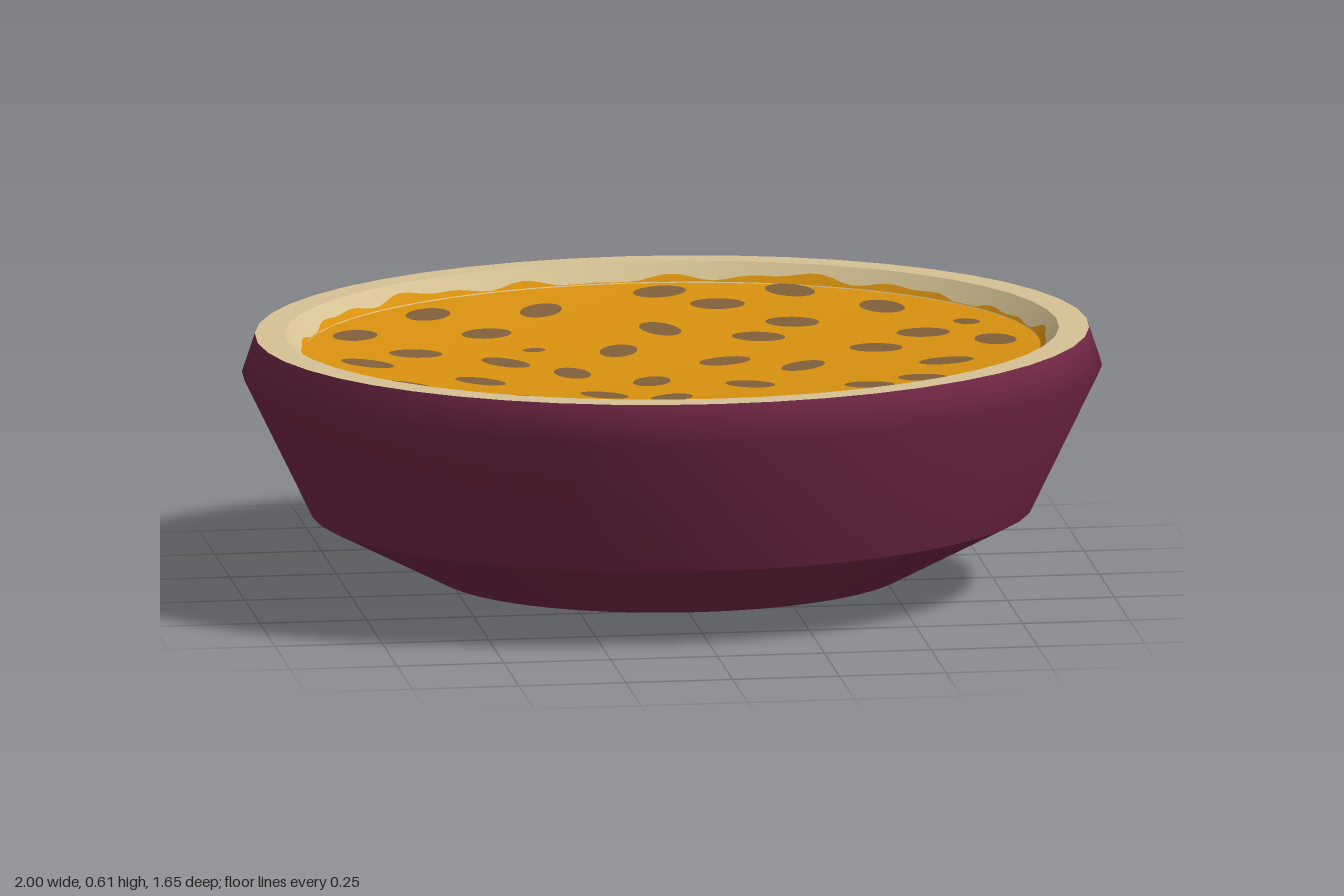
import * as THREE from 'three';

const DEPTH = 0.825; // the bowl is oval: z is narrower than x
const PULP_R = 0.86, PULP_EDGE = 0.565, PULP_MID = 0.525;

const mat = (name, color) => {
  const m = new THREE.MeshStandardMaterial({ color });
  m.name = name;
  return m;
};

// Oval lathe from [radius, height] pairs
function ovalLathe(points, segments = 48) {
  const g = new THREE.LatheGeometry(points.map(([r, y]) => new THREE.Vector2(r, y)), segments);
  return g.scale(1, 1, DEPTH);
}

// Height of the shallow pulp surface
function pulpY(x, z) {
  const r = Math.hypot(x, z / DEPTH) / PULP_R;
  return PULP_MID + (PULP_EDGE - PULP_MID) * r * r;
}

// Seeds on top: x, z, turn in degrees
const SEEDS = [
  [0.06, -0.63, 12], [0.36, -0.59, -40], [0.18, -0.52, -10], [-0.235, -0.505, 50],
  [-0.505, -0.465, 42], [0.55, -0.41, -55], [-0.39, -0.31, 25], [0.02, -0.335, -65],
  [0.33, -0.34, -22], [0.235, -0.23, -25], [-0.705, -0.26, 42], [-0.105, -0.145, 65],
  [0.61, -0.155, -25], [-0.585, -0.105, 10], [-0.385, -0.03, -45], [0.125, -0.01, 20],
  [0.485, -0.05, -28], [0.76, -0.02, -65], [-0.715, 0.02, -25], [-0.245, 0.085, -85],
  [0.295, 0.085, 45], [-0.475, 0.19, -38], [-0.075, 0.195, 65], [0.62, 0.155, -8],
  [-0.66, 0.27, -40], [0.145, 0.27, -42], [-0.435, 0.42, 42], [-0.21, 0.37, -48],
  [-0.06, 0.42, 50], [0.41, 0.375, -38], [0.54, 0.335, -42], [-0.265, 0.58, -5],
  [0.075, 0.57, -65], [0.295, 0.51, -80],
];

function seedGeometry(x, z, turn, size = 1) {
  return new THREE.CircleGeometry(1, 18)
    .scale(0.064 * size, 0.042 * size, 1)
    .rotateX(-Math.PI / 2)
    .rotateY(THREE.MathUtils.degToRad(turn))
    .translate(x, 0, z);
}

export function createModel() {
  const group = new THREE.Group();
  group.name = 'halvedFruit';
  const skin = mat('purple skin', 0x752848);
  const pith = mat('cream pith', 0xd6c294);
  const pulp = mat('orange pulp', 0xd9920f);
  const seed = mat('brown seed', 0x82603a);

  const add = (name, geometry, material) => {
    const mesh = new THREE.Mesh(geometry, material);
    mesh.name = name;
    group.add(mesh);
  };

  // Outer skin, in bands that meet at sharp edges
  add('skinBase', ovalLathe([[0.22, 0], [0.55, 0.04]]), skin);
  add('skinLower', ovalLathe([[0.55, 0.04], [0.84, 0.19]]), skin);
  add('skinSide', ovalLathe([[0.84, 0.19], [1, 0.52], [0.97, 0.61]]), skin);

  // Cut rim and the inner wall sloping down to the pulp
  add('rim', ovalLathe([[0.97, 0.61], [0.9, 0.61]]), pith);
  add('innerWall', ovalLathe([[0.9, 0.61], [PULP_R, PULP_EDGE]]), pith);

  // Shallow bowl of pulp
  const profile = [];
  for (let i = 12; i >= 0; i--) {
    const r = (PULP_R * i) / 12;
    profile.push([r, pulpY(r, 0)]);
  }
  add('pulp', ovalLathe(profile), pulp);

  // Ragged edge of pulp creeping up the wall
  const edge = new THREE.LatheGeometry(
    [new THREE.Vector2(0.88, 0.59), new THREE.Vector2(PULP_R, PULP_EDGE)], 192);
  const pos = edge.attributes.position;
  for (let i = 0; i <= 192; i++) {
    const a = (i / 192) * Math.PI * 2;
    const t = Math.max(0.03, 0.22 + 0.14 * Math.sin(5 * a + 1) + 0.12 * Math.sin(17 * a) + 0.1 * Math.sin(31 * a + 2));
    [t, 0].forEach((h, j) => {
      const r = PULP_R + 0.04 * h - 0.003;
      pos.setXYZ(i * 2 + j, r * Math.sin(a), PULP_EDGE + 0.045 * h + 0.003, r * Math.cos(a));
    });
  }
  add('pulpEdge', edge.scale(1, 1, DEPTH), pulp);

  // Seeds laid on the pulp
  const small = [[-0.3, -0.16, 20, 0.45], [0.72, -0.215, -45, 0.55]];
  for (const s of [...SEEDS, ...small]) {
    const g = seedGeometry(...s);
    const p = g.attributes.position;
    for (let i = 0; i < p.count; i++) p.setY(i, pulpY(p.getX(i), p.getZ(i)) + 0.005);
    g.computeVertexNormals();
    add('seed', g, seed);
  }

  // Pulp patch with seeds underneath
  add('bottomPatch', ovalLathe([[0, 0.004], [0.22, 0.004]]), pulp);
  for (const [x, z, turn] of [[0.03, -0.12, 30], [-0.15, 0.04, 70], [0.1, 0.11, 0]]) {
    add('bottomSeed', seedGeometry(x, -z, turn, 0.75).rotateX(Math.PI), seed);
  }
  return group;
}
